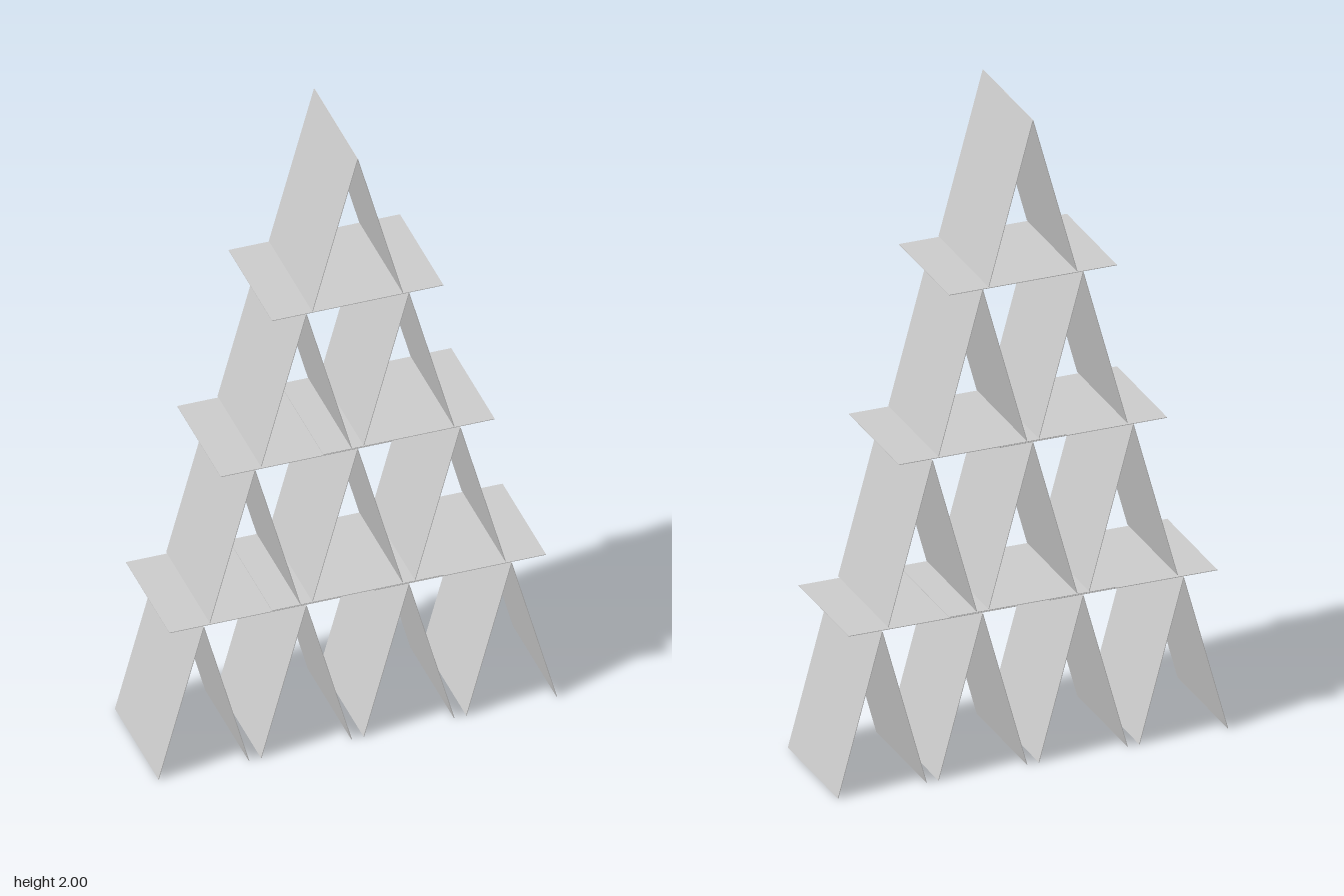
import * as THREE from 'three';

const LENGTH = 0.511, WIDTH = 0.362, THICK = 0.002;
const SPACING = 0.306;   // distance between neighbouring tents
const SPREAD = 0.135;    // foot offset from the tent's ridge
const TENT_HEIGHT = 0.495;
const TIER_BASES = [0, 0.504, 1.006, 1.505];

export function createModel() {
  const model = new THREE.Group();
  model.name = 'houseOfCards';

  const cardGrey = new THREE.MeshStandardMaterial({ color: 0xcccccc });
  cardGrey.name = 'card grey';
  const cardGeometry = new THREE.BoxGeometry(LENGTH, THICK, WIDTH);

  function addCard(parent, name, x, y, angle = 0) {
    const card = new THREE.Mesh(cardGeometry, cardGrey);
    card.name = name;
    card.position.set(x, y, 0);
    card.rotation.z = angle;
    parent.add(card);
  }

  // Leaning pairs: four tents at the bottom, one at the top
  const lean = Math.atan2(TENT_HEIGHT, SPREAD);
  TIER_BASES.forEach((base, tier) => {
    const count = 4 - tier;
    for (let i = 0; i < count; i++) {
      const tent = new THREE.Group();
      tent.name = `tent${tier + 1}_${i + 1}`;
      tent.position.set((i - (count - 1) / 2) * SPACING, base, 0);
      addCard(tent, 'rightLeaningCard', -SPREAD / 2, TENT_HEIGHT / 2, lean);
      addCard(tent, 'leftLeaningCard', SPREAD / 2, TENT_HEIGHT / 2, -lean);
      model.add(tent);
    }
  });

  // Flat cards: two outer and one overlapping, then an overlapping pair, then one
  const floors = [
    [[-SPACING, 0.499], [SPACING, 0.499], [0, 0.502]],
    [[-SPACING / 2, 1.001], [SPACING / 2, 1.004]],
    [[0, 1.503]],
  ];
  floors.forEach((cards, level) => {
    const floor = new THREE.Group();
    floor.name = `floor${level + 1}`;
    cards.forEach(([x, y]) => addCard(floor, 'flatCard', x, y));
    model.add(floor);
  });

  return model;
}
